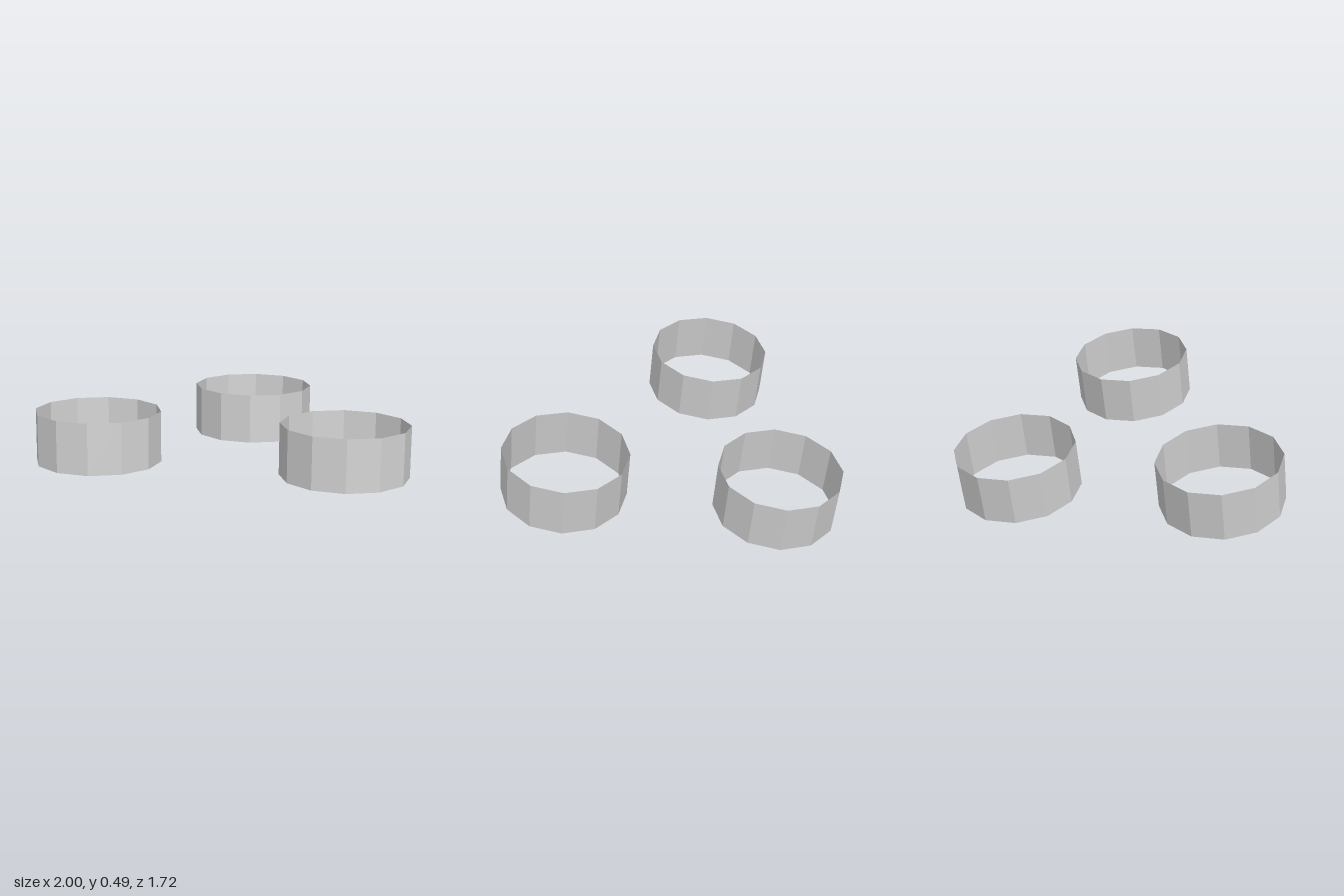
import * as THREE from 'three';

export function createModel() {
  const model = new THREE.Group();
  const material = new THREE.MeshStandardMaterial({
    color: 0xcccccc, flatShading: true, side: THREE.DoubleSide,
  });

  // Thin open twelve-sided band, shared by all three rings
  const band = new THREE.CylinderGeometry(0.34, 0.34, 0.277, 12, 1, true);
  const tilt = -THREE.MathUtils.degToRad(7.05);

  // Rings lie on one sloping plane, higher at the front
  const rings = [
    ['leftRing', 0.66, 0.306, 0.506],
    ['rightRing', -0.66, 0.284, 0.316],
    ['backRing', 0.133, 0.179, -0.506],
  ];
  for (const [name, x, y, z] of rings) {
    const ring = new THREE.Mesh(band, material);
    ring.name = name;
    ring.position.set(x, y, z);
    ring.rotation.x = tilt;
    model.add(ring);
  }
  return model;
}
